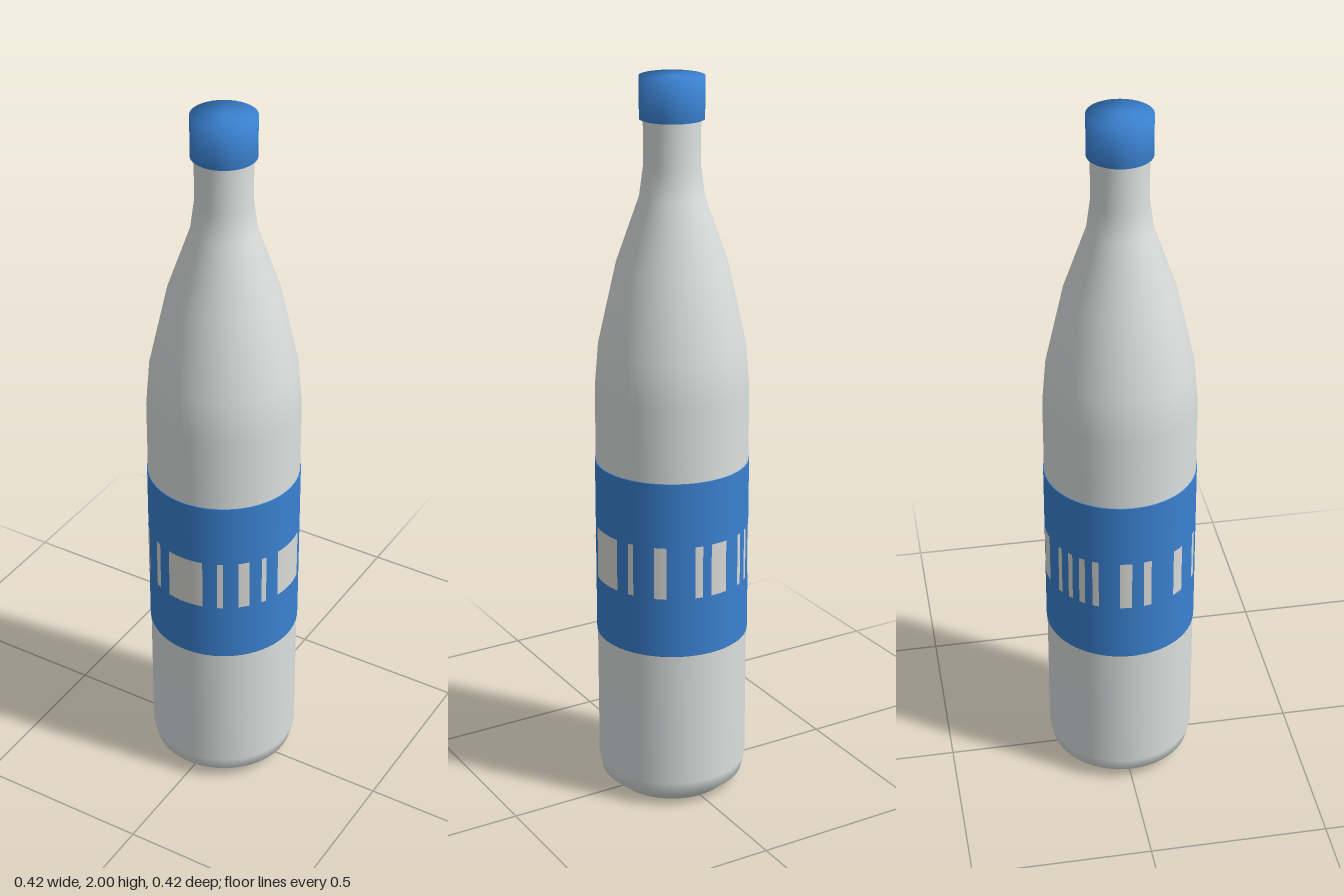
import * as THREE from 'three';

const SEGMENTS = 64;

function material(name, color) {
  const m = new THREE.MeshStandardMaterial({ color });
  m.name = name;
  return m;
}

// Revolve [radius, height] pairs, listed from bottom to top
function turned(name, profile, mat) {
  const points = profile.map(([r, y]) => new THREE.Vector2(r, y));
  const mesh = new THREE.Mesh(new THREE.LatheGeometry(points, SEGMENTS), mat);
  mesh.name = name;
  return mesh;
}

export function createModel() {
  const bottleGrey = material('bottleGrey', 0xdbe0df);
  const labelBlue = material('labelBlue', 0x3a81d0);
  const barWhite = material('barWhite', 0xdadad8);

  const bottle = new THREE.Group();
  bottle.name = 'bottle';

  // Body with chamfered foot, sloping shoulder and slim neck
  bottle.add(turned('body', [
    [0, 0], [0.157, 0], [0.198, 0.035], [0.207, 0.075], [0.207, 0.6], [0.207, 1.17],
    [0.197, 1.29], [0.148, 1.51], [0.086, 1.687], [0.075, 1.767], [0.075, 1.9],
  ], bottleGrey));

  // Screw cap
  bottle.add(turned('cap', [
    [0.07, 1.89], [0.085, 1.89], [0.085, 2], [0, 2],
  ], labelBlue));

  // Wrapped label: doubled points keep its thin rims crisp
  bottle.add(turned('label', [
    [0.206, 0.465], [0.2092, 0.465], [0.2092, 0.466],
    [0.2092, 0.964], [0.2092, 0.965], [0.206, 0.965],
  ], labelBlue));

  // Pale bars round the label: [start, end] in degrees from the front towards the left
  const bars = [
    [-14.6, 14.6], [25.5, 30], [41.5, 50], [60, 64], [75, 105], [115.5, 120],
    [136.5, 145.5], [167, 173], [180, 193.5], [207, 211], [218, 222], [228, 233],
    [239, 244], [260, 269], [278, 284], [304, 313.5], [330, 335],
  ];
  const ring = new THREE.Group();
  ring.name = 'labelBars';
  for (const [start, end] of bars) {
    const bar = new THREE.Mesh(new THREE.CylinderGeometry(
      0.21, 0.21, 0.148, Math.ceil((end - start) / 3), 1, true,
      THREE.MathUtils.degToRad(start), THREE.MathUtils.degToRad(end - start),
    ), barWhite);
    bar.position.y = 0.709;
    bar.name = 'labelBar';
    ring.add(bar);
  }
  bottle.add(ring);

  return bottle;
}
